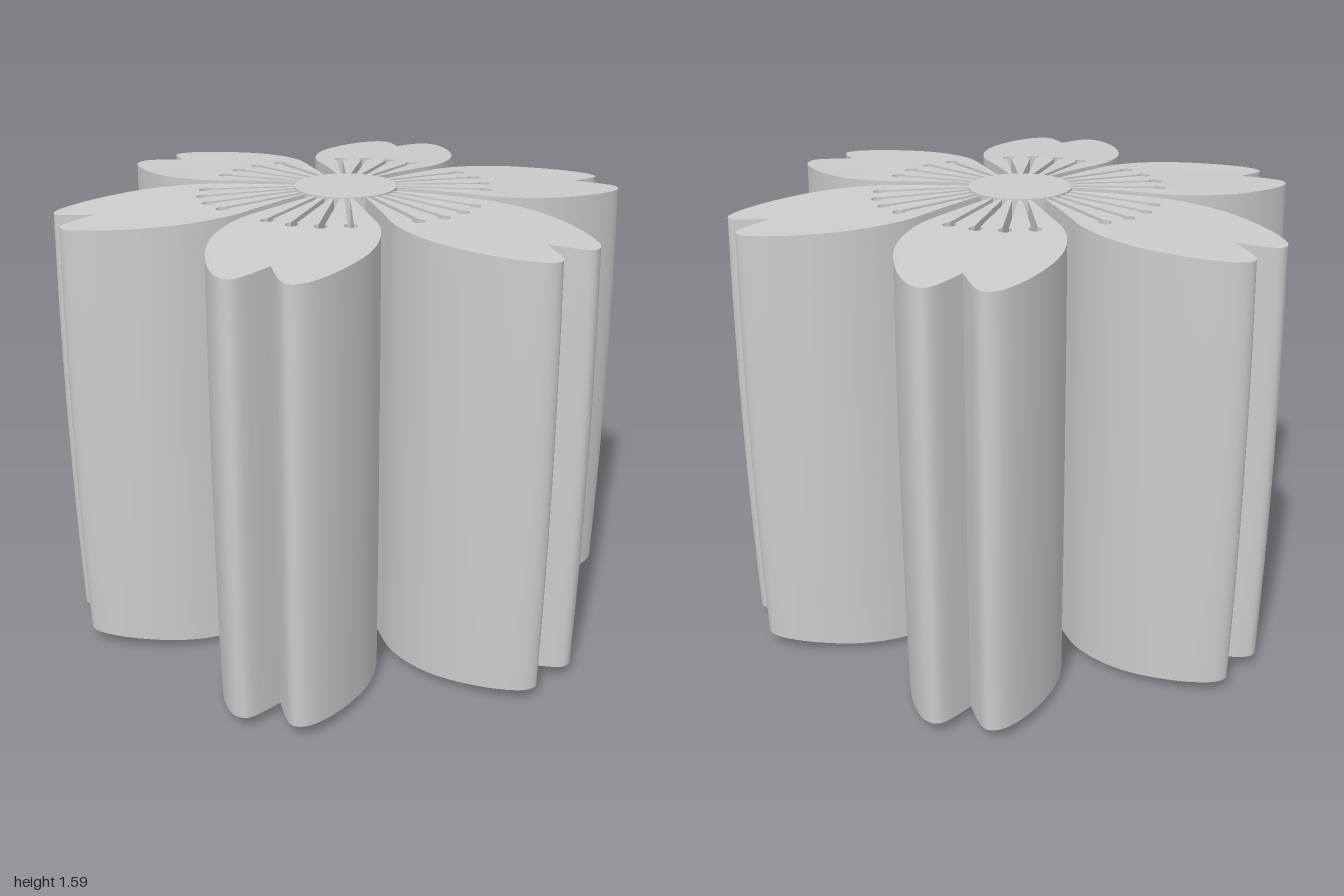
import * as THREE from 'three';
import { toCreasedNormals } from 'three/addons/utils/BufferGeometryUtils.js';

const HEIGHT = 1.585;
const DEG = Math.PI / 180;

// Keyhole slot: a thin radial strip ending in a round head
function stamenSlot(angle, length) {
  const half = 0.01, head = 0.022, inner = 0.172;
  const local = [[-half, inner], [half, inner]];
  const open = Math.asin(half / head);
  for (let i = 0; i <= 12; i++) {
    const a = -Math.PI / 2 + open + (i / 12) * (2 * Math.PI - 2 * open);
    local.push([head * Math.cos(a), length + head * Math.sin(a)]);
  }
  const c = Math.cos(angle), s = Math.sin(angle);
  return new THREE.Path(local.map(([x, y]) => new THREE.Vector2(x * c - y * s, x * s + y * c)));
}

// Notched petal outline, half drawn and mirrored, with four slots
function petalShape() {
  const half = new THREE.SplineCurve([
    [0.05, 0.13], [0.1, 0.22], [0.165, 0.335], [0.228, 0.45], [0.256, 0.58], [0.25, 0.71],
    [0.207, 0.85], [0.15, 0.953], [0.1, 0.988], [0.058, 0.968], [0, 0.865],
  ].map(([x, y]) => new THREE.Vector2(x, y))).getPoints(40);
  const mirrored = half.slice(0, -1).reverse().map((p) => new THREE.Vector2(-p.x, p.y));
  const shape = new THREE.Shape([...half, ...mirrored]);
  for (const side of [-1, 1]) {
    shape.holes.push(stamenSlot(side * 16.5 * DEG, 0.485), stamenSlot(side * 5.5 * DEG, 0.495));
  }
  return shape;
}

// Tall petal: slightly barrelled walls, ends that slope away from the middle
function petalGeometry() {
  const geo = new THREE.ExtrudeGeometry(petalShape(), { depth: 1, steps: 8, bevelEnabled: false });
  geo.rotateX(-Math.PI / 2);
  const pos = geo.attributes.position;
  for (let i = 0; i < pos.count; i++) {
    const x = pos.getX(i), z = pos.getZ(i);
    const t = pos.getY(i) * 2 - 1;
    const r = Math.hypot(x, z);
    const slope = 0.045 * Math.pow(Math.max(0, r - 0.2) / 0.8, 1.4);
    const bulge = 1 + 0.012 * (1 - t * t);
    const y = HEIGHT / 2 + t * (HEIGHT / 2 - 0.004 - slope);
    pos.setXYZ(i, x * bulge, y, z * bulge);
  }
  return toCreasedNormals(geo, 32 * DEG);
}

export function createModel() {
  const flower = new THREE.Group();
  flower.name = 'flower';
  const material = new THREE.MeshStandardMaterial({ color: 0xcccccc });

  // Six petals, a few turned slightly off the even spacing
  const geometry = petalGeometry();
  [1.8, 1.8, 0.3, 0, 0.5, 0.7].forEach((turn, i) => {
    const petal = new THREE.Mesh(geometry, material);
    petal.name = `petal${i + 1}`;
    petal.rotation.y = (i * 60 + turn) * DEG;
    flower.add(petal);
  });

  // Round core joining the petals
  const core = new THREE.Mesh(new THREE.CylinderGeometry(0.178, 0.178, HEIGHT, 48), material);
  core.name = 'core';
  core.position.y = HEIGHT / 2;
  flower.add(core);

  return flower;
}
